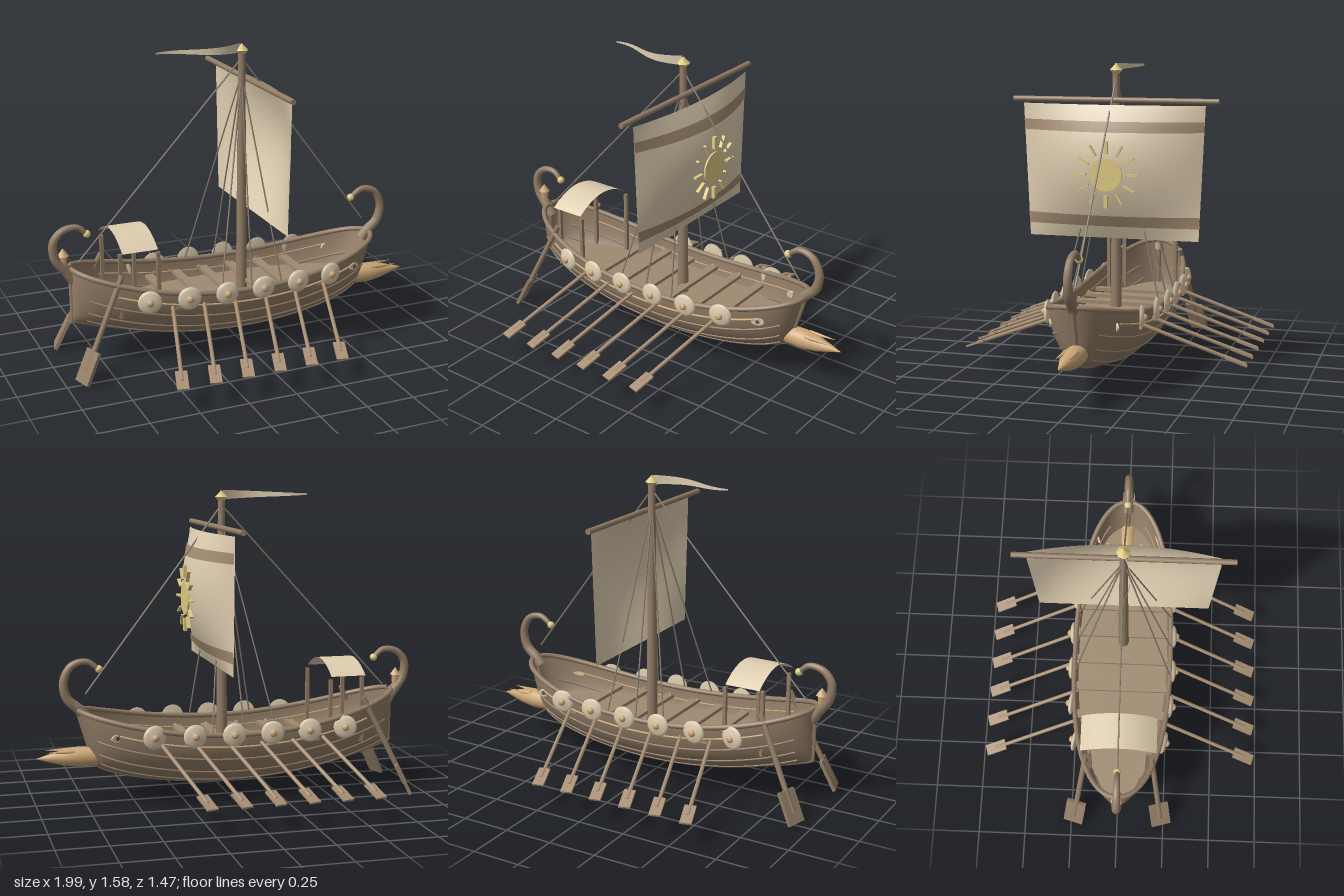
import * as THREE from 'three';

const mat = (name, color, side = THREE.FrontSide) => {
  const m = new THREE.MeshStandardMaterial({ color, side });
  m.name = name;
  return m;
};
const V = (x, y, z) => new THREE.Vector3(x, y, z);

// Hull lines: sheer, keel and half-breadth along the length
const X0 = -0.89, X1 = 0.78, RAKE = 0.08;
const sheer = x => 0.375 + 0.19 * x * x;
const keelY = x => 0.085 + 0.2 * x * x;
const breadth = x => {
  const t = Math.min(1, Math.abs((x - (X0 + X1) / 2) / ((X1 - X0) / 2)));
  return 0.006 + 0.25 * Math.sqrt(1 - Math.pow(t, 2.5));
};
// Point on the hull: s = 0 at the keel, 1 at the sheer; the bow rakes forward
const hullPoint = (x, s, side, out = 0) => {
  const c = Math.cos(s * Math.PI / 2), n = Math.sin(s * Math.PI / 2);
  return V(
    x - RAKE * c * Math.pow(Math.max(0, x) / X1, 6),
    keelY(x) + (sheer(x) - keelY(x)) * (1 - c) - out * c,
    side * (breadth(x) + out) * n);
};
const sAtY = (x, y) => Math.acos(1 - Math.min(1, (y - keelY(x)) / (sheer(x) - keelY(x)))) * 2 / Math.PI;
const stationX = u => (X0 + X1) / 2 - Math.cos(u * Math.PI) * (X1 - X0) / 2;
const yawAt = x => Math.atan((breadth(x - 0.01) - breadth(x + 0.01)) / 0.02);

export function createModel() {
  const wood = mat('hull wood', 0x937d66);
  const shell = mat('hull planking', 0x937d66, THREE.DoubleSide);
  const deckWood = mat('deck wood', 0xa08a70, THREE.DoubleSide);
  const oarWood = mat('oar wood', 0xa88f74);
  const dark = mat('dark wood', 0x6f5c4a);
  const cloth = mat('sail cloth', 0xdecdaf, THREE.DoubleSide);
  const stripe = mat('sail stripe', 0xa28a70);
  const gold = mat('gold', 0xdeca82);
  const bronze = mat('bronze', 0xcca676);
  const rope = mat('rope', 0x8a8070);

  const model = new THREE.Group();
  const add = (name, geo, m, parent = model) => {
    const mesh = new THREE.Mesh(geo, m);
    mesh.name = name;
    parent.add(mesh);
    return mesh;
  };
  const at = (mesh, x, y, z) => { mesh.position.set(x, y, z); return mesh; };

  // Frame with y running from a to b and x kept horizontal
  const span = (name, a, b) => {
    const g = new THREE.Group(), y = b.clone().sub(a).normalize();
    const x = Math.abs(y.y) > 0.9999 ? V(1, 0, 0) : y.clone().cross(V(0, 1, 0)).normalize();
    g.quaternion.setFromRotationMatrix(new THREE.Matrix4().makeBasis(x, y, x.clone().cross(y)));
    g.position.copy(a);
    g.name = name;
    model.add(g);
    return g;
  };
  const rod = (name, a, b, r0, r1, m, sides = 8) => {
    const len = a.distanceTo(b), g = span(name, a, b);
    at(add(name, new THREE.CylinderGeometry(r1, r0, len, sides), m, g), 0, len / 2, 0);
    return g;
  };
  const tube = (name, pts, r, m, n = 48, r1 = r) => {
    const path = new THREE.CatmullRomCurve3(pts);
    const geo = new THREE.TubeGeometry(path, n, r, 10), p = geo.attributes.position, v = V(0, 0, 0);
    for (let i = 0; i < p.count; i++) {
      const k = Math.floor(i / 11) / n, c = path.getPointAt(k);
      v.fromBufferAttribute(p, i).sub(c).multiplyScalar(1 + (r1 / r - 1) * k).add(c);
      p.setXYZ(i, v.x, v.y, v.z);
    }
    return add(name, geo, m);
  };
  const line = (n, f) => Array.from({ length: n + 1 }, (_, i) => f(i / n));

  // Hull shell lofted from rounded sections
  const hull = new THREE.PlaneGeometry(1, 1, 48, 28), hp = hull.attributes.position;
  for (let i = 0; i < hp.count; i++) {
    const s = hp.getY(i) * 2;
    const p = hullPoint(stationX(hp.getX(i) + 0.5), Math.abs(s), s < 0 ? -1 : 1);
    hp.setXYZ(i, p.x, p.y, p.z);
  }
  hull.computeVertexNormals();
  add('hull', hull, shell);
  tube('keel', line(20, u => hullPoint(X0 + u * (X1 - X0), 0, 1)), 0.009, wood);
  rod('stern stem', V(X0, keelY(X0), 0), V(X0, sheer(X0), 0), 0.01, 0.014, wood);
  rod('bow stem', V(X1 - RAKE, keelY(X1), 0), V(X1, sheer(X1), 0), 0.01, 0.014, wood);

  // Deck follows the inside of the hull
  const deckY = 0.28, outline = [];
  for (const side of [1, -1]) for (let i = 0; i <= 24; i++) {
    const x = stationX(side > 0 ? i / 24 : 1 - i / 24), p = hullPoint(x, sAtY(x, deckY), side);
    outline.push(new THREE.Vector2(p.x, -p.z));
  }
  const deck = add('deck', new THREE.ShapeGeometry(new THREE.Shape(outline)), deckWood);
  deck.rotation.x = -Math.PI / 2;
  deck.position.y = deckY;
  for (let i = 0; i < 6; i++) {
    const x = -0.4 + i * 0.155;
    at(add('rowing bench', new THREE.BoxGeometry(0.045, 0.018, breadth(x) * 1.93), deckWood), x, 0.325, 0);
  }

  for (const side of [1, -1]) {
    // Gunwale, strakes and metal line
    tube('gunwale', line(30, u => hullPoint(stationX(u), 1, side, 0.003)), 0.013, wood, 60);
    for (const s of [0.3, 0.5, 0.7])
      tube('strake', line(20, u => hullPoint(-0.83 + u * 1.55, s, side)), 0.006, wood);
    tube('trim line', line(20, u => hullPoint(-0.7 + u * 1.3, 0.86, side, 0.003)), 0.005, bronze);

    for (let i = 0; i < 6; i++) {
      // Round shields with bosses
      const x = -0.56 + i * 0.199, g = new THREE.Group();
      g.name = 'shield';
      g.position.set(x, 0.38, side * (breadth(x) + 0.02));
      g.rotation.set(side * Math.PI / 2, 0, -side * yawAt(x));
      model.add(g);
      const dome = [[0, -0.008], [0.058, -0.008], [0.06, 0.001], [0.045, 0.01], [0, 0.018]];
      add('shield face', new THREE.LatheGeometry(dome.map(p => new THREE.Vector2(...p)), 24), cloth, g);
      const boss = at(add('shield boss', new THREE.SphereGeometry(0.019, 12, 8), bronze, g), 0, 0.015, 0);
      boss.scale.y = 0.8;

      // Rowing oars
      const ox = -0.45 + i * 0.167;
      const a = V(ox + 0.01, 0.335, side * 0.235), b = V(ox - 0.125, 0.132, side * 0.725);
      const oar = rod('oar', a, b.clone().lerp(a, 0.1), 0.01, 0.01, oarWood);
      const len = a.distanceTo(b);
      at(add('oar blade', new THREE.BoxGeometry(0.058, 0.115, 0.01), oarWood, oar), 0, len - 0.0575, 0);
    }

    // Steering oar
    const top = V(-0.68, 0.515, side * 0.172), tip = V(-0.92, 0.012, side * 0.24);
    const steer = rod('steering oar', top, tip.clone().lerp(top, 0.1), 0.014, 0.014, wood);
    at(add('steering blade', new THREE.BoxGeometry(0.105, 0.17, 0.018), wood, steer), 0, top.distanceTo(tip) - 0.085, 0);

    // Canopy posts
    for (const [x, z] of [[-0.68, 0.15], [-0.495, 0.19]])
      at(add('canopy post', new THREE.BoxGeometry(0.018, 0.34, 0.018), wood), x, 0.45, side * z);

    // Bow eye
    const eye = new THREE.Group();
    eye.name = 'bow eye';
    eye.position.copy(hullPoint(0.615, sAtY(0.615, 0.37), side, 0.004));
    eye.rotation.set(side * Math.PI / 2, 0, -side * yawAt(0.615));
    model.add(eye);
    add('eye white', new THREE.CylinderGeometry(0.019, 0.019, 0.009, 20), cloth, eye).scale.x = 1.7;
    at(add('pupil', new THREE.CylinderGeometry(0.011, 0.011, 0.008, 16), dark, eye), 0, 0.003, 0);

    // Shrouds and ram fins
    for (const x of [-0.185, -0.02, 0.145])
      rod('shroud', V(0.033, 1.43, 0), V(x, 0.39, side * 0.255), 0.004, 0.004, rope, 6);
    rod('ram fin', V(0.8, 0.282, side * 0.024), V(0.94, 0.285, side * 0.032), 0.014, 0.001, bronze);
  }

  // Ram
  const ramLine = [[0, 0.54], [0.04, 0.54], [0.048, 0.68], [0.052, 0.78], [0.04, 0.86], [0.018, 0.94], [0, 0.995]];
  const ram = add('ram', new THREE.LatheGeometry(ramLine.map(p => new THREE.Vector2(...p)), 16), bronze);
  ram.rotation.z = -Math.PI / 2;
  ram.position.y = 0.25;

  // Curled end posts with gold tips
  const stern = [[-0.875, 0.46], [-0.91, 0.51], [-0.965, 0.585], [-0.972, 0.67], [-0.925, 0.725], [-0.85, 0.735], [-0.8, 0.695]];
  const bow = [[0.74, 0.455], [0.775, 0.495], [0.832, 0.55], [0.85, 0.635], [0.81, 0.715], [0.735, 0.735], [0.67, 0.695]];
  for (const [name, pts] of [['stern post', stern], ['bow post', bow]]) {
    tube(name, pts.map(p => V(...p, 0)), 0.03, wood, 40, 0.013);
    at(add(name + ' tip', new THREE.SphereGeometry(0.02, 14, 10), gold), ...pts[6], 0);
  }
  at(add('stern lantern', new THREE.CylinderGeometry(0.022, 0.018, 0.045, 8), bronze), -0.925, 0.575, 0);
  at(add('lantern roof', new THREE.ConeGeometry(0.03, 0.04, 8), bronze), -0.925, 0.617, 0);

  // Canopy
  const canopy = new THREE.PlaneGeometry(0.185, 2, 1, 16), cp = canopy.attributes.position;
  for (let i = 0; i < cp.count; i++) {
    const v = cp.getY(i);
    cp.setXYZ(i, cp.getX(i) - 0.59, 0.635 + 0.07 * (1 - v * v), -v * 0.195);
  }
  canopy.computeVertexNormals();
  add('canopy', canopy, cloth);

  // Mast, yard and stays
  rod('mast', V(0.033, deckY, 0), V(0.033, 1.54, 0), 0.029, 0.018, wood, 16);
  at(add('mast cap', new THREE.CylinderGeometry(0.034, 0.018, 0.018, 8), gold), 0.033, 1.54, 0);
  at(add('mast point', new THREE.ConeGeometry(0.034, 0.035, 8), gold), 0.033, 1.566, 0);
  rod('yard', V(0.065, 1.4, -0.535), V(0.065, 1.4, 0.535), 0.014, 0.014, wood, 12);
  rod('backstay', V(0.025, 1.5, 0), V(-0.85, 0.55, 0), 0.0045, 0.0045, rope, 6);
  rod('forestay', V(0.04, 1.5, 0), V(0.74, 0.57, 0), 0.0045, 0.0045, rope, 6);

  // Bellied sail, with painted stripes just off its forward face
  const sailStrip = (name, y0, y1, rows, lift, m) => {
    const geo = new THREE.PlaneGeometry(2, 1, 20, rows), p = geo.attributes.position;
    for (let i = 0; i < p.count; i++) {
      const v = p.getX(i), y = y0 + (p.getY(i) + 0.5) * (y1 - y0), u = (y - 0.7) / 0.68;
      p.setXYZ(i, 0.088 + lift + 0.13 * Math.sin(u * 0.862 * Math.PI) * (1 - v * v), y, -v * (0.443 + 0.03 * u));
    }
    geo.computeVertexNormals();
    add(name, geo, m);
  };
  sailStrip('sail', 0.7, 1.38, 20, 0, cloth);
  sailStrip('lower stripe', 0.765, 0.822, 3, 0.004, stripe);
  sailStrip('upper stripe', 1.247, 1.3, 3, 0.004, stripe);

  // Sun emblem
  const disc = at(add('sun disc', new THREE.CylinderGeometry(0.083, 0.083, 0.008, 32), gold), 0.224, 1.04, 0);
  disc.rotation.z = Math.PI / 2;
  for (let i = 0; i < 12; i++) {
    const a = i * Math.PI / 6, w = i % 6 ? 0.009 : 0.02;
    const ray = add('sun ray', new THREE.BoxGeometry(0.018, 0.062, w), gold);
    at(ray, 0.224, 1.04 + Math.cos(a) * 0.135, Math.sin(a) * 0.135);
    ray.rotation.x = a;
  }

  // Waving pennant
  const flag = new THREE.PlaneGeometry(1, 1, 24, 1), fp = flag.attributes.position;
  for (let i = 0; i < fp.count; i++) {
    const u = fp.getX(i) + 0.5;
    fp.setXYZ(i, 0.025 - u * 0.435, 1.56 + fp.getY(i) * (0.048 - 0.04 * u), 0.036 * Math.sin(u * 5.2));
  }
  flag.computeVertexNormals();
  add('pennant', flag, cloth);

  return model;
}
